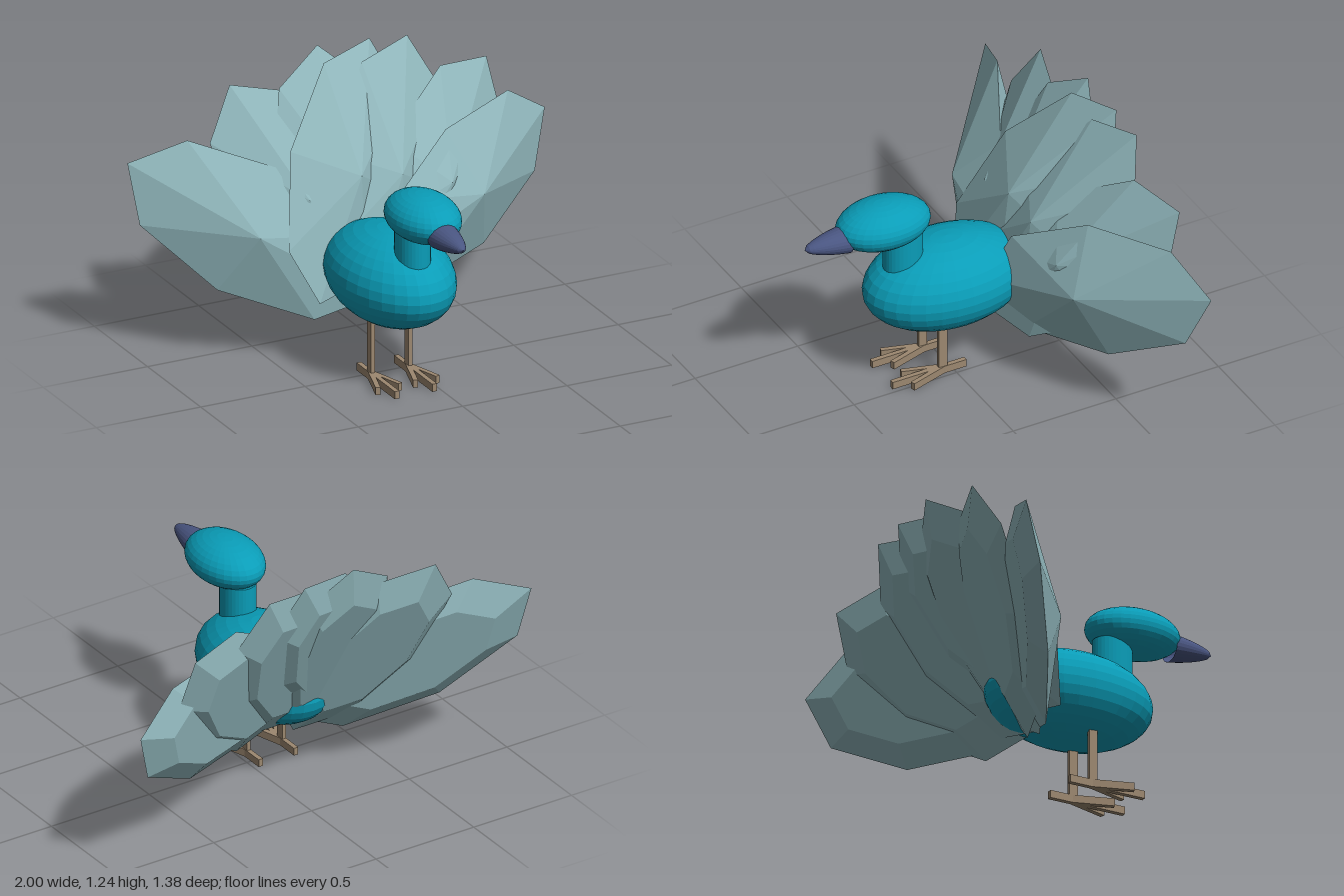
import * as THREE from 'three';

const X = -0.093; // centre line of the bird
const mat = (color) => new THREE.MeshStandardMaterial({ color, flatShading: true });

function add(parent, name, geometry, material, pos, scale = [1, 1, 1]) {
  const mesh = new THREE.Mesh(geometry, material);
  mesh.name = name;
  mesh.position.set(...pos);
  mesh.scale.set(...scale);
  parent.add(mesh);
  return mesh;
}

// Faceted feather: octagonal rim, a raised point in front, a smaller flat plate behind
function featherGeometry() {
  const ring = (s, x, z) => Array.from({ length: 8 }, (_, i) => {
    const a = (i / 8) * Math.PI * 2;
    return [x + 0.606 * s * Math.cos(a), 0.295 * s * Math.sin(a), z];
  });
  const rim = ring(1, 0, 0), plate = ring(0.66, 0.015, -0.065);
  const front = [-0.035, 0, 0.135], back = [0.015, 0, -0.065];
  const p = [];
  for (let i = 0; i < 8; i++) {
    const j = (i + 1) % 8;
    p.push(...front, ...rim[i], ...rim[j]);
    p.push(...rim[j], ...rim[i], ...plate[i], ...rim[j], ...plate[i], ...plate[j]);
    p.push(...back, ...plate[j], ...plate[i]);
  }
  const g = new THREE.BufferGeometry();
  g.setAttribute('position', new THREE.Float32BufferAttribute(p, 3));
  g.computeVertexNormals();
  return g;
}

export function createModel() {
  const model = new THREE.Group();
  model.name = 'bird';
  const teal = mat(0x0a9db8), pale = mat(0x8fb5ba), navy = mat(0x4a5682), tan = mat(0x9c8870);

  // Body, neck and head
  const ball = new THREE.SphereGeometry(1, 32, 16);
  add(model, 'body', ball, teal, [X, 0.447, 0], [0.254, 0.211, 0.388]);
  add(model, 'neck', new THREE.CylinderGeometry(1, 1, 0.27, 32), teal, [X, 0.63, 0.212], [0.075, 1, 0.09]);
  add(model, 'head', ball, teal, [X, 0.828, 0.309], [0.152, 0.105, 0.219]);

  // Beak: a tapered, blunt-tipped cone pointing forward
  const profile = Array.from({ length: 13 }, (_, i) => {
    const t = i / 12;
    return new THREE.Vector2((1 - t * t) ** 0.5 * (1 - 0.3 * t), t);
  });
  const cone = new THREE.LatheGeometry(profile, 24).rotateX(Math.PI / 2);
  const beak = add(model, 'beak', cone, navy, [X, 0.803, 0.49], [0.07, 0.06, 0.2]);
  beak.rotation.x = -0.03;
  beak.material.side = THREE.DoubleSide;

  // Legs with three forward toes each
  for (const side of [-1, 1]) {
    const leg = new THREE.Group();
    leg.name = side > 0 ? 'leftLeg' : 'rightLeg';
    leg.position.set(-0.122 + side * 0.09, 0, 0.053);
    add(leg, 'shin', new THREE.BoxGeometry(0.018, 0.3, 0.04), tan, [0, 0.16, 0]);
    add(leg, 'middleToe', new THREE.BoxGeometry(0.022, 0.035, 0.36), tan, [0, 0.0175, 0.067]);
    for (const s of [-1, 1]) {
      const toe = add(leg, 'sideToe', new THREE.BoxGeometry(0.022, 0.035, 0.19), tan, [s * 0.026, 0.0175, 0.082]);
      toe.rotation.y = s * 0.29;
    }
    model.add(leg);
  }

  // Tail fan: each feather is given by its tip x, tip y, direction in degrees and relative length
  const tail = new THREE.Group();
  tail.name = 'tailFan';
  const geometry = featherGeometry();
  const feathers = [
    [-1, 0.87, 147, 1], [-0.51, 1.14, 114, 0.92], [-0.09, 1.245, 85, 0.95], [0.16, 1.23, 62, 0.98],
    [0.34, 1.21, 64, 0.98], [0.72, 1.04, 45, 1], [1, 0.75, 18, 1],
  ];
  for (const [x, y, degrees, length] of feathers) {
    const a = THREE.MathUtils.degToRad(degrees), reach = 0.545 * length;
    const f = add(tail, 'tailFeather', geometry, pale,
      [x - reach * Math.cos(a), y - reach * Math.sin(a), -0.69 + 0.265 * length], [length, 1, 1]);
    f.rotation.set(0, Math.atan(0.265 / 0.545), a, 'ZYX');
  }
  model.add(tail);
  return model;
}
